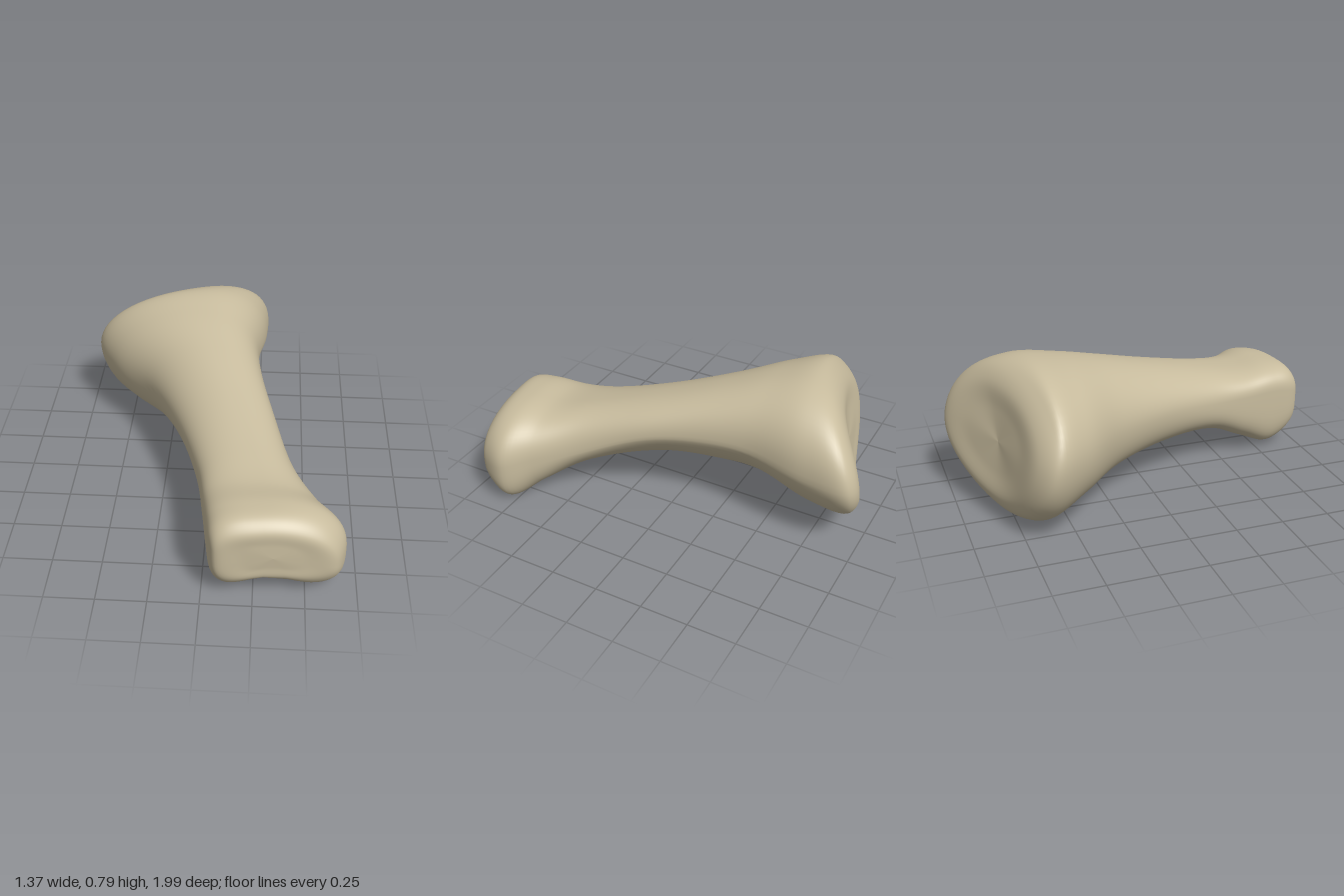
import * as THREE from 'three';

const { lerp, smoothstep } = THREE.MathUtils;
const SIDES = 64, ROWS = 90;

// Cross-sections from the head (+z) to the base (-z):
// z, then the left, top, right and bottom extremes [x, y].
const SECTIONS = [
  { z: 0.955, l: [0.075, 0.3], t: [0.27, 0.425], r: [0.63, 0.22], b: [0.36, 0.12] },
  { z: 0.905, l: [0.04, 0.32], t: [0.27, 0.473], r: [0.67, 0.21], b: [0.38, 0.045] },
  { z: 0.8, l: [0.018, 0.34], t: [0.29, 0.487], r: [0.685, 0.22], b: [0.4, -0.022] },
  { z: 0.65, l: [-0.01, 0.34], t: [0.26, 0.475], r: [0.58, 0.25], b: [0.34, 0.06] },
  { z: 0.45, l: [-0.05, 0.35], t: [0.22, 0.51], r: [0.45, 0.3], b: [0.18, 0.16] },
  { z: 0.1, l: [-0.18, 0.4], t: [0.1, 0.6], r: [0.33, 0.43], b: [-0.01, 0.185] },
  { z: -0.2, l: [-0.35, 0.42], t: [0, 0.69], r: [0.26, 0.47], b: [-0.13, 0.155] },
  { z: -0.43, l: [-0.575, 0.42], t: [-0.08, 0.755], r: [0.24, 0.47], b: [-0.23, 0.1] },
  { z: -0.65, l: [-0.68, 0.42], t: [-0.1, 0.785], r: [0.28, 0.44], b: [-0.27, 0.022] },
  { z: -0.78, l: [-0.68, 0.41], t: [-0.09, 0.745], r: [0.27, 0.43], b: [-0.27, 0.06] },
  { z: -0.83, l: [-0.6, 0.41], t: [-0.1, 0.67], r: [0.19, 0.42], b: [-0.25, 0.13] },
];
const HEAD_CENTRE = new THREE.Vector3(0.34, 0.28, 0.965);
const SOCKET_CENTRE = new THREE.Vector3(-0.21, 0.4, -0.8);

// Point of a section at angle a, built from four superellipse quarters.
function sectionPoint({ z, l, t, r, b }, a) {
  const c = Math.cos(a), n = Math.sin(a);
  const side = c >= 0 ? r : l, end = n >= 0 ? t : b;

  // Roundness of each quarter: boxy at the head, flattened under the shaft
  const head = smoothstep(z, 0.1, 0.8), base = smoothstep(-z, 0.5, 0.83);
  const roundness = [
    lerp(0.85, 0.93, base),
    lerp(1, 0.65, head),
    lerp(1, 0.5, head),
    lerp(lerp(1.4, 0.62, head), 1.05, base),
  ];
  const p = roundness[Math.floor(a / (Math.PI / 2))];
  const x = end[0] + (side[0] - end[0]) * Math.abs(c) ** p;
  let y = side[1] + (end[1] - side[1]) * Math.abs(n) ** p;

  // Notch between the two condyles
  const notch = 0.11 * Math.exp(-(((z - 0.82) / 0.13) ** 2));
  y += notch * Math.max(0, -n) * Math.exp(-(((x - 0.32) / 0.15) ** 2));

  // Slanted head, and slanted, saddle-shaped rim of the base
  const dx = x - (l[0] + r[0]) / 2, dy = y - (t[1] + b[1]) / 2;
  const slant = -0.1 * smoothstep(z, 0.65, 0.9) * dx;
  const rim = base * (-0.36 * dx + 0.2 * dy - 0.025 * Math.cos(2 * a));
  return new THREE.Vector3(x, y, z + slant + rim);
}

// Spline along the bone at angle a, running into the middle of both ends.
function boneLine(a) {
  const points = SECTIONS.map((s) => sectionPoint(s, a));
  const first = points[0], last = points[points.length - 1];
  return new THREE.CatmullRomCurve3([
    HEAD_CENTRE, first.clone().lerp(HEAD_CENTRE, 0.5),
    ...points,
    last.clone().lerp(SOCKET_CENTRE, 0.45), SOCKET_CENTRE,
  ]);
}

// Smooth skin over the splines.
function loft() {
  const position = [], index = [];
  const lines = [];
  for (let j = 0; j < SIDES; j++) lines.push(boneLine(((j + 0.5) / SIDES) * Math.PI * 2));
  for (let i = 0; i <= ROWS; i++) {
    for (const line of lines) position.push(...line.getPoint(i / ROWS).toArray());
  }
  for (let i = 0; i < ROWS; i++) {
    for (let j = 0; j < SIDES; j++) {
      const k = (j + 1) % SIDES;
      const a = i * SIDES + j, b = a + SIDES, c = i * SIDES + k, d = c + SIDES;
      index.push(a, b, c, b, d, c);
    }
  }
  const geometry = new THREE.BufferGeometry();
  geometry.setAttribute('position', new THREE.Float32BufferAttribute(position, 3));
  geometry.setIndex(index);
  geometry.computeVertexNormals();
  return geometry;
}

export function createModel() {
  const group = new THREE.Group();
  group.name = 'toeBone';
  const bone = new THREE.MeshStandardMaterial({ color: 0xc8bc9e });
  bone.name = 'bone';
  const mesh = new THREE.Mesh(loft(), bone);
  mesh.name = 'boneBody';
  group.add(mesh);
  return group;
}
